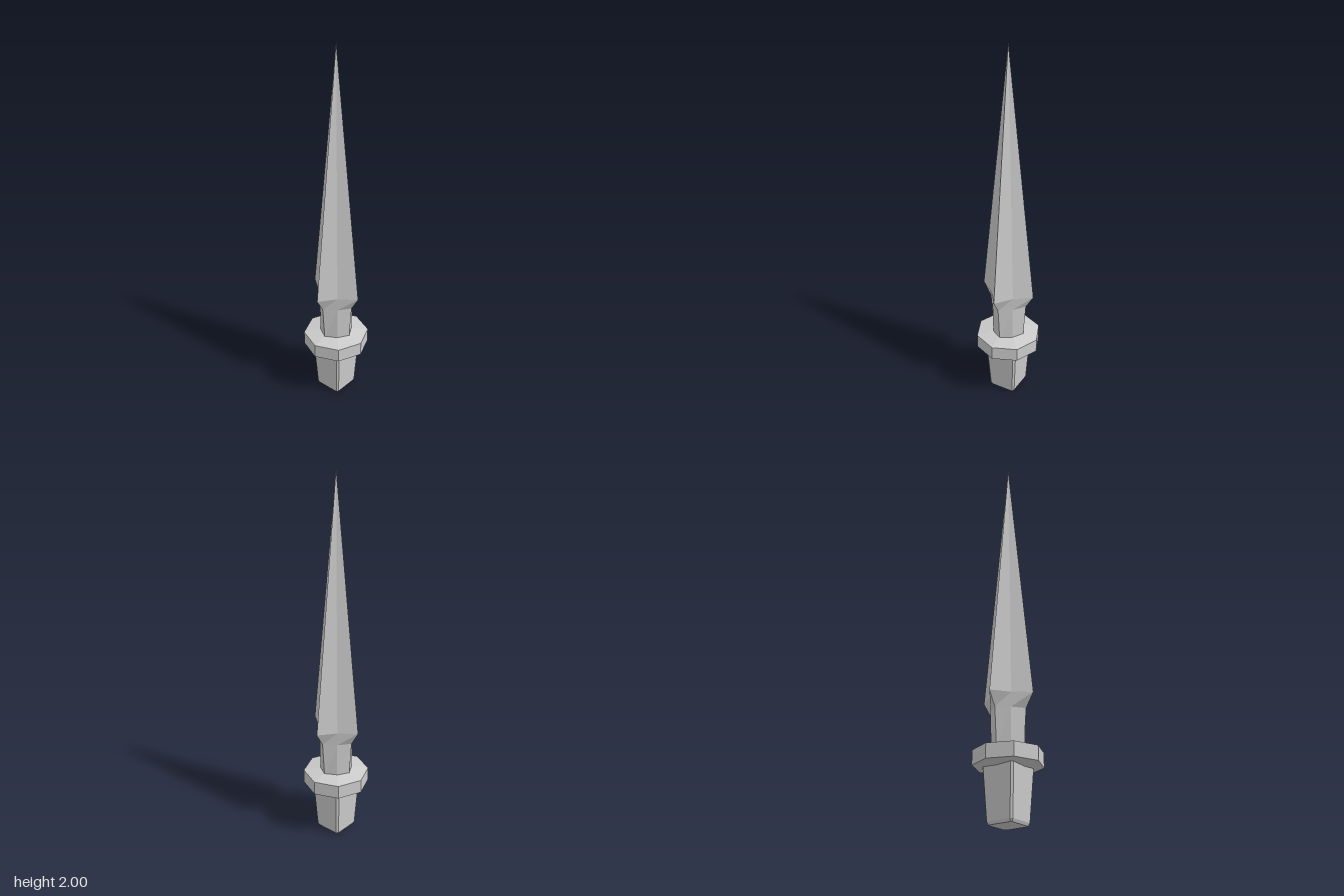
import * as THREE from 'three';

const material = new THREE.MeshStandardMaterial({ color: 0xcccccc, flatShading: true });

// Eight-point ring: r on the axes, d is the x and z of the diagonal corners
const starRing = (y, r, d) =>
  [[0, r], [d, d], [r, 0], [d, -d], [0, -r], [-d, -d], [-r, 0], [-d, d]].map(([x, z]) => [x, y, z]);

// Square ring of half width h with corners cut back by c
const squareRing = (y, h, c) => {
  const k = h - c;
  return [[k, h], [h, k], [h, -k], [k, -h], [-k, -h], [-h, -k], [-h, k], [-k, h]].map(([x, z]) => [x, y, z]);
};

// Skin rings listed from bottom to top and close both ends
function loft(name, rings) {
  const positions = [];
  const tri = (a, b, c) => positions.push(...a, ...b, ...c);
  const n = rings[0].length;
  const bottom = rings[0], top = rings[rings.length - 1];
  for (let i = 0; i < n; i++) {
    const j = (i + 1) % n;
    for (let k = 0; k < rings.length - 1; k++) {
      const lo = rings[k], hi = rings[k + 1];
      tri(lo[i], lo[j], hi[j]);
      tri(lo[i], hi[j], hi[i]);
    }
    tri([0, bottom[0][1], 0], bottom[j], bottom[i]);
    tri([0, top[0][1], 0], top[i], top[j]);
  }
  const geometry = new THREE.BufferGeometry();
  geometry.setAttribute('position', new THREE.Float32BufferAttribute(positions, 3));
  geometry.computeVertexNormals();
  const mesh = new THREE.Mesh(geometry, material);
  mesh.name = name;
  return mesh;
}

export function createModel() {
  const model = new THREE.Group();
  model.name = 'spike';

  // Tapered square tang with bevelled corners and foot
  model.add(loft('tang', [
    squareRing(0, 0.07, 0.008),
    squareRing(0.015, 0.077, 0.009),
    squareRing(0.285, 0.093, 0.011),
  ]));

  // Octagonal collar with gently sloped top and underside
  model.add(loft('collar', [
    starRing(0.272, 0.09, 0.064),
    starRing(0.285, 0.177, 0.125),
    starRing(0.36, 0.177, 0.125),
    starRing(0.375, 0.09, 0.064),
  ]));

  // Neck flaring upward
  model.add(loft('neck', [
    starRing(0.36, 0.094, 0.06),
    starRing(0.56, 0.109, 0.062),
  ]));

  // Four-ridged blade: shoulder spreading to a star, then a long point
  model.add(loft('blade', [
    starRing(0.56, 0.109, 0.062),
    starRing(0.635, 0.153, 0.066),
    starRing(2, 0.0005, 0.0002),
  ]));

  return model;
}
